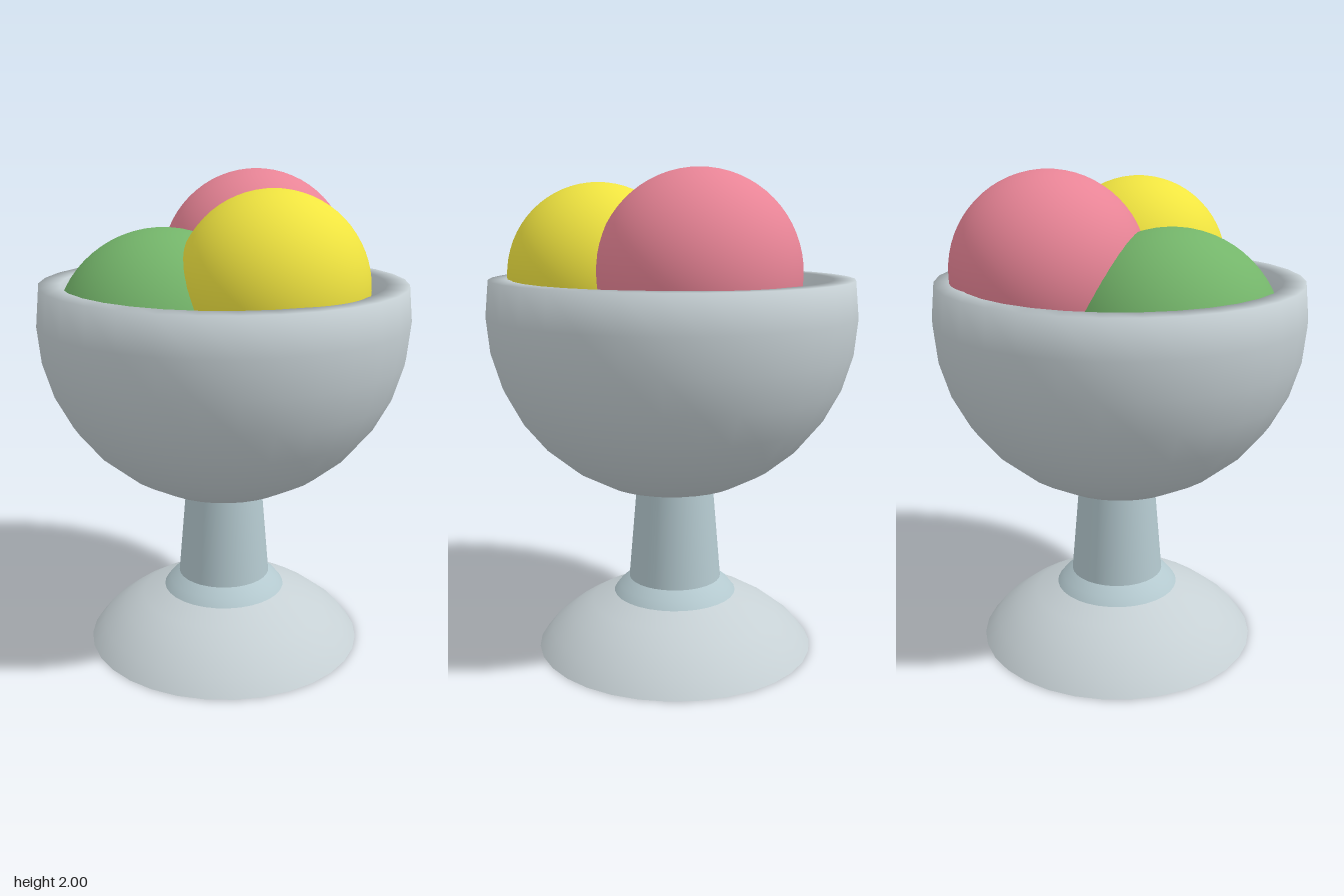
import * as THREE from 'three';

const SEGMENTS = 32;
const glassColor = 0xc6d0d4;
const stemColor = 0xb4c9cf;

function material(color, side = THREE.FrontSide) {
  return new THREE.MeshStandardMaterial({ color, side });
}

// Surface of revolution from [radius, height] pairs
function lathe(name, profile, color, side) {
  const points = profile.map(([r, y]) => new THREE.Vector2(r, y));
  const mesh = new THREE.Mesh(new THREE.LatheGeometry(points, SEGMENTS), material(color, side));
  mesh.name = name;
  return mesh;
}

// Points on a circular arc, counted in steps of 1/32 turn up from the bottom pole
function arc(radius, centerY, steps) {
  return Array.from({ length: steps + 1 }, (_, i) => {
    const a = (i * Math.PI) / 16;
    return [radius * Math.sin(a), centerY - radius * Math.cos(a)];
  });
}

function scoop(name, color, radius, x, y, z) {
  const mesh = new THREE.Mesh(new THREE.SphereGeometry(radius, 48, 32), material(color));
  mesh.name = name;
  mesh.position.set(x, y, z);
  return mesh;
}

export function createModel() {
  const model = new THREE.Group();
  model.name = 'sundaeCup';

  // Thick-walled bowl: outer sphere wall, flat rim, inner wall
  const outer = arc(0.757, 1.42, 9);
  const inner = arc(0.66, 1.42, 8);
  inner.push([0.655, 1.568]);
  model.add(lathe('bowl', [...outer, ...inner.reverse()], glassColor));

  // Pedestal, set a touch off the bowl's axis
  const pedestal = new THREE.Group();
  pedestal.name = 'pedestal';
  pedestal.position.set(0.005, 0, -0.015);
  pedestal.add(
    lathe('foot', [[0.585, 0], [0.53, 0.07], [0.44, 0.14], [0.355, 0.19], [0.26, 0.23]],
      glassColor, THREE.DoubleSide),
    lathe('collar', [[0.26, 0.23], [0.235, 0.262], [0.195, 0.295]],
      stemColor, THREE.DoubleSide),
  );
  const stem = new THREE.Mesh(
    new THREE.CylinderGeometry(0.16, 0.196, 0.42, SEGMENTS), material(stemColor));
  stem.name = 'stem';
  stem.position.y = 0.5;
  pedestal.add(stem);
  model.add(pedestal);

  // Three overlapping scoops
  model.add(
    scoop('pinkScoop', 0xe88496, 0.398, 0.197, 1.602, -0.205),
    scoop('yellowScoop', 0xf0e440, 0.373, 0.12, 1.577, 0.273),
    scoop('greenScoop', 0x74b56a, 0.442, -0.25, 1.348, 0.012),
  );
  return model;
}
